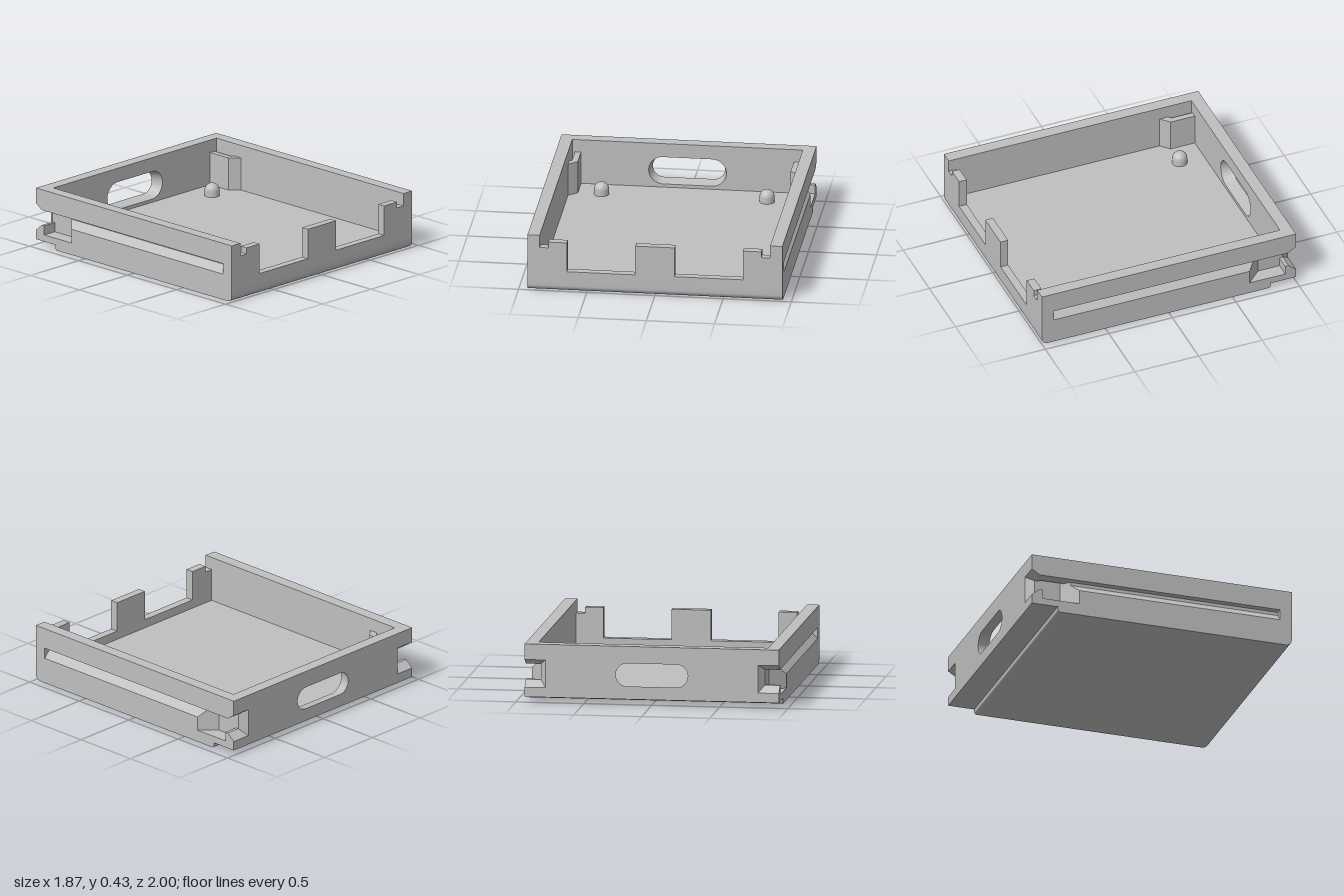
import * as THREE from 'three';
import { toCreasedNormals } from 'three/addons/utils/BufferGeometryUtils.js';

const HALF_W = 0.935, TOP = 0.43, FLOOR = 0.09, INNER = 0.845, POST = 0.78;

const toShape = (pts) => new THREE.Shape(pts.map(([x, y]) => new THREE.Vector2(x, y)));
const extrude = (shape, depth) =>
  new THREE.ExtrudeGeometry(shape, { depth, bevelEnabled: false, curveSegments: 20 });

// Side profile of [z, y] points, swept along x
function sweepX(profile, xa, xb) {
  const x0 = Math.min(xa, xb), x1 = Math.max(xa, xb);
  return extrude(toShape(profile.map(([z, y]) => [-z, y])), x1 - x0)
    .rotateY(Math.PI / 2).translate(x0, 0, 0);
}

// Plan of [x, z] points, raised along y
function raiseY(plan, y0, y1) {
  return extrude(toShape(plan.map(([x, z]) => [x, -z])), y1 - y0)
    .rotateX(-Math.PI / 2).translate(0, y0, 0);
}

// Quarter-round corner points
function arc(cz, cy, r, a0, a1, n = 8) {
  return Array.from({ length: n + 1 }, (_, i) => {
    const a = a0 + (a1 - a0) * i / n;
    return [cz + r * Math.cos(a), cy + r * Math.sin(a)];
  });
}

export function createModel() {
  const group = new THREE.Group();
  const grey = new THREE.MeshStandardMaterial({ color: 0xbfbfbf });
  grey.name = 'light grey';
  const add = (geo, name, parent = group) => {
    const mesh = new THREE.Mesh(toCreasedNormals(geo, 0.5), grey);
    mesh.name = name;
    parent.add(mesh);
    return mesh;
  };

  // Floor slab: rounded lower edges, raised step underneath at the back
  const R = 0.045, r = 0.018;
  add(sweepX([
    [1, FLOOR],
    ...arc(1 - R, R, R, 0, -Math.PI / 2),
    ...arc(-0.8 + r, r, r, -Math.PI / 2, -Math.PI),
    [-0.8, 0.04], [-1, 0.04], [-1, FLOOR],
  ], -HALF_W, HALF_W), 'base');

  // Front wall with notches and a centre tab
  const half = [[INNER, FLOOR], [INNER, 0.335], [POST, 0.335], [POST, 0.38],
    [0.645, 0.38], [0.645, 0.155], [0.145, 0.155], [0.145, 0.38]];
  const mirrored = half.map(([x, y]) => [-x, y]).reverse();
  add(extrude(toShape([...half, ...mirrored]), 0.06).translate(0, 0, 0.94), 'frontWall');

  // Back wall with a finger slot that widens towards the inside
  const slotY = 0.22, slotX = 0.18, outerR = 0.085, innerR = 0.105;
  const back = toShape([[-POST, FLOOR], [POST, FLOOR], [POST, TOP], [-POST, TOP]]);
  const slot = new THREE.Path();
  slot.absarc(slotX, slotY, outerR, -Math.PI / 2, Math.PI / 2, false);
  slot.absarc(-slotX, slotY, outerR, Math.PI / 2, Math.PI * 1.5, false);
  slot.closePath();
  back.holes.push(slot);
  const backGeo = extrude(back, 0.09);
  const p = backGeo.attributes.position;
  for (let i = 0; i < p.count; i++) {
    const x = p.getX(i), y = p.getY(i);
    if (Math.abs(x) > 0.3 || p.getZ(i) < 0.05) continue;
    const cx = Math.sign(x) * slotX, k = innerR / outerR;
    p.setXY(i, cx + (x - cx) * k, slotY + (y - slotY) * k);
  }
  add(backGeo.translate(0, 0, -1), 'backWall');

  for (const s of [1, -1]) {
    const side = new THREE.Group();
    side.name = s > 0 ? 'leftSide' : 'rightSide';
    group.add(side);
    const plan = (pts) => pts.map(([x, z]) => [s * x, z]);

    // Upper wall, flared at the rear opening
    add(sweepX([[1, TOP], [-1, TOP], [-1, 0.315], [-0.94, 0.275], [1, 0.275]],
      s * INNER, s * HALF_W), 'upperWall', side);
    add(sweepX([[-0.91, TOP], [-1, TOP], [-1, 0.315], [-0.94, 0.275], [-0.91, 0.275]],
      s * POST, s * INNER), 'rearCornerTop', side);

    // Wall behind the groove, continuing into the rear corner post
    add(raiseY(plan([[INNER, 0.91], [0.885, 0.91], [0.885, -0.685], [0.825, -0.745],
      [0.825, -0.94], [POST, -1], [POST, -0.72], [INNER, -0.66]]), FLOOR, 0.335),
    'innerWallAndPost', side);

    // Solid front end of the groove
    add(sweepX([[1, FLOOR], [1, 0.275], [0.91, 0.275], [0.91, FLOOR]],
      s * INNER, s * HALF_W), 'grooveEnd', side);

    // Wall below the groove, topped by its sloping lower face
    const rail = plan([[0.885, 0.91], [HALF_W, 0.91], [HALF_W, -0.635], [0.885, -0.685]]);
    add(raiseY(rail, FLOOR, 0.195), 'lowerWall', side);
    const slope = raiseY(rail, 0.195, 0.25);
    const q = slope.attributes.position;
    for (let i = 0; i < q.count; i++) {
      if (q.getY(i) < 0.22) continue;
      q.setX(i, s * 0.885);
      if (q.getZ(i) < 0) q.setZ(i, -0.685);
    }
    add(slope, 'grooveSlope', side);

    // Ramped catch at the rear opening
    add(sweepX([[-0.915, FLOOR], [-0.915, 0.16], [-0.94, 0.16], [-1, 0.11], [-1, FLOOR]],
      s * POST, s * HALF_W), 'rearCatch', side);

    // Round-topped locating peg
    const dome = arc(0, 0.13, 0.055, 0, Math.PI / 2, 10).map(([x, y]) => new THREE.Vector2(Math.max(x, 0), y));
    const peg = new THREE.LatheGeometry([new THREE.Vector2(0.055, FLOOR), ...dome], 32);
    add(peg.translate(s * 0.607, 0, -0.72), 'peg', side);
  }
  return group;
}
